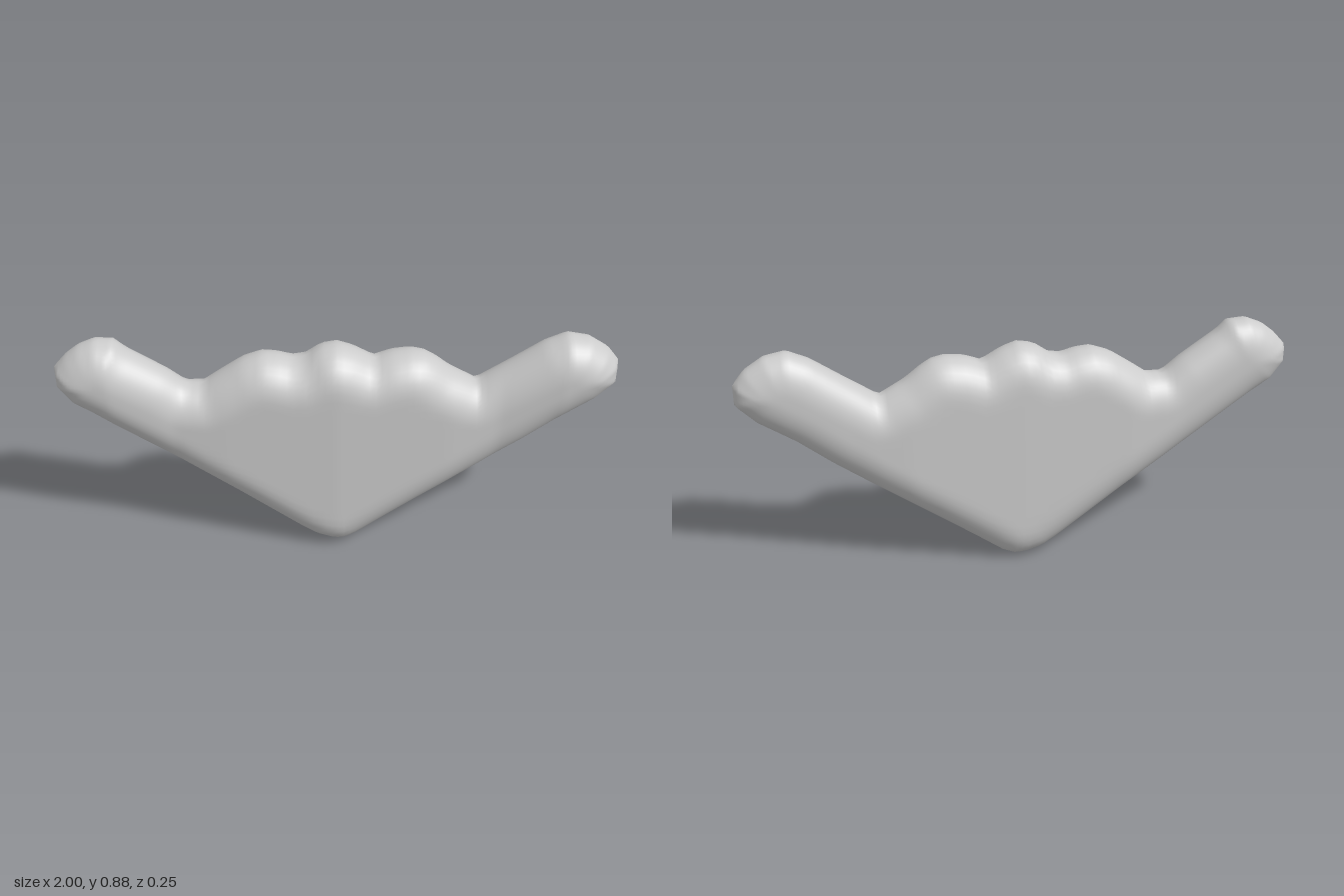
import * as THREE from 'three';
import { mergeVertices } from 'three/addons/utils/BufferGeometryUtils.js';

// Silhouette edges from the right tip (-x) to the left tip (+x).
const LOWER = [[-1, 0.71], [-0.95, 0.64], [-0.88, 0.595], [-0.7, 0.465], [-0.54, 0.35], [-0.39, 0.245],
  [-0.15, 0.065], [-0.09, 0.025], [-0.03, 0.005], [0.02, 0], [0.07, 0.02], [0.18, 0.1], [0.3, 0.185],
  [0.54, 0.35], [0.68, 0.45], [0.8, 0.545], [0.93, 0.63], [1, 0.7]];
const UPPER = [[-1, 0.77], [-0.955, 0.82], [-0.91, 0.855], [-0.85, 0.88], [-0.78, 0.875], [-0.74, 0.838],
  [-0.6, 0.745], [-0.54, 0.695], [-0.48, 0.695], [-0.43, 0.73], [-0.34, 0.79], [-0.27, 0.815], [-0.21, 0.81],
  [-0.16, 0.795], [-0.115, 0.802], [-0.06, 0.84], [0, 0.85], [0.06, 0.83], [0.13, 0.79], [0.19, 0.812],
  [0.26, 0.82], [0.31, 0.81], [0.35, 0.787], [0.41, 0.74], [0.5, 0.69], [0.62, 0.77], [0.73, 0.845],
  [0.81, 0.88], [0.89, 0.865], [0.96, 0.82], [1, 0.77]];
const OUTLINE = [...LOWER, ...[...UPPER].reverse()];

// Half thickness along |x|, for the front and the back.
const FRONT = [[0, 0.123], [0.2, 0.115], [0.4, 0.107], [0.58, 0.092], [0.8, 0.108], [1, 0.1]];
const BACK = [[0, 0.122], [0.4, 0.12], [0.6, 0.107], [0.8, 0.1], [1, 0.095]];

function heightAt(points, x) {
  let i = 0;
  while (i < points.length - 2 && points[i + 1][0] < x) i++;
  const [a, b] = [points[i], points[i + 1]];
  return THREE.MathUtils.lerp(a[1], b[1], THREE.MathUtils.clamp((x - a[0]) / (b[0] - a[0]), 0, 1));
}

function edgeDistance(x, y) {
  let best = Infinity;
  OUTLINE.forEach(([ax, ay], i) => {
    const [bx, by] = OUTLINE[(i + 1) % OUTLINE.length];
    const dx = bx - ax, dy = by - ay;
    const t = THREE.MathUtils.clamp(((x - ax) * dx + (y - ay) * dy) / (dx * dx + dy * dy), 0, 1);
    best = Math.min(best, Math.hypot(x - ax - t * dx, y - ay - t * dy));
  });
  return best;
}

// Cushioned solid: thickness rises in a quarter round from the rim.
function wingGeometry() {
  const columns = 110, rows = 28, round = 0.13, rimZ = -0.012;
  const positions = [], index = [];
  for (const side of [1, -1]) {
    const base = positions.length / 3;
    for (let i = 0; i <= columns; i++) {
      const u = 2 * i / columns - 1;
      const x = 0.6 * u + 0.4 * Math.sin(u * Math.PI / 2);
      const low = heightAt(LOWER, x), high = heightAt(UPPER, x);
      for (let j = 0; j <= rows; j++) {
        const y = THREE.MathUtils.lerp(low, high, (1 - Math.cos(Math.PI * j / rows)) / 2);
        const onRim = i === 0 || i === columns || j === 0 || j === rows;
        const d = onRim ? 0 : Math.min(edgeDistance(x, y) / round, 1);
        const f = Math.sqrt(1 - (1 - d) ** 2);
        const half = heightAt(side > 0 ? FRONT : BACK, Math.abs(x));
        positions.push(x, y, side * half * f + rimZ * (1 - f));
      }
    }
    for (let i = 0; i < columns; i++) {
      for (let j = 0; j < rows; j++) {
        const a = base + i * (rows + 1) + j, b = a + rows + 1;
        if (side > 0) index.push(a, b, b + 1, a, b + 1, a + 1);
        else index.push(a, b + 1, b, a, a + 1, b + 1);
      }
    }
  }
  const geometry = new THREE.BufferGeometry();
  geometry.setAttribute('position', new THREE.Float32BufferAttribute(positions, 3));
  geometry.setIndex(index);
  const merged = mergeVertices(geometry, 1e-5);
  merged.computeVertexNormals();
  return merged;
}

export function createModel() {
  const group = new THREE.Group();
  group.name = 'scallopedWing';
  const wing = new THREE.Mesh(wingGeometry(), new THREE.MeshStandardMaterial({ color: 0xcccccc }));
  wing.name = 'wingBody';
  group.add(wing);
  return group;
}
